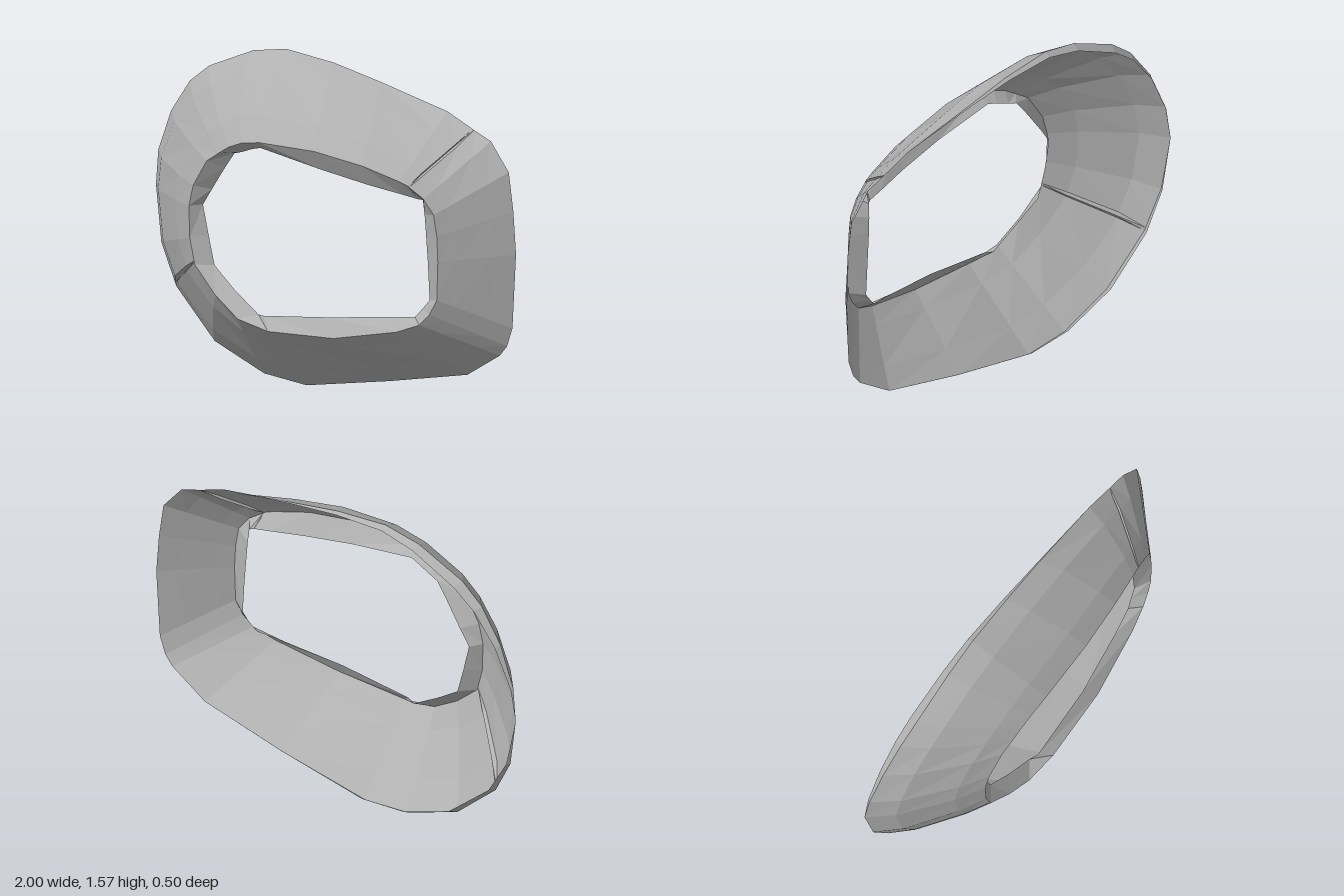
import * as THREE from 'three';

// Stations round the ring: outline x,y | front opening x,y | lip x,y
const stations = [
  [-1, .8, -.605, .85, -.56, .85],
  [-.98, .97, -.58, .95, -.51, .93],
  [-.9, 1.17, -.5, 1.08, -.43, 1.05],
  [-.79, 1.33, -.43, 1.13, -.375, 1.125],
  [-.68, 1.42, -.37, 1.17, -.33, 1.14],
  [-.44, 1.53, -.3, 1.2, -.27, 1.165],
  [-.26, 1.565, -.2, 1.22, -.22, 1.18],
  [0, 1.54, .1, 1.225, .1, 1.13],
  [.25, 1.49, .35, 1.19, .35, 1.09],
  [.62, 1.41, .53, 1.14, .52, 1.065],
  [.76, 1.35, .57, 1.125, .6, 1.053],
  [.86, 1.31, .65, 1.07, .62, 1.05],
  [.96, 1.18, .7, 1, .625, .98],
  [.985, 1, .715, .9, .63, .9],
  [1, .8, .72, .78, .64, .76],
  [.98, .45, .715, .6, .65, .58],
  [.95, .36, .68, .53, .615, .535],
  [.91, .31, .63, .475, .58, .495],
  [.73, .19, .52, .43, .45, .48],
  [.3, .09, .2, .36, .15, .44],
  [-.15, 0, -.15, .34, -.2, .395],
  [-.38, .02, -.32, .37, -.24, .39],
  [-.65, .13, -.45, .46, -.38, .485],
  [-.87, .35, -.57, .58, -.495, .575],
  [-.96, .54, -.6, .7, -.53, .71],
];
const seams = [10, 23];
const clamp = THREE.MathUtils.clamp;
const rimZ = (x) => -.135 + .115 * x;
const frontZ = (x) => .245 - .15 * (x - .2) ** 2;

// Cross-section from back rim to lip; groove sinks the wall along a seam
function section([ox, oy, fx, fy, lx, ly], groove = 0) {
  const dir = new THREE.Vector2(ox, oy - .79).normalize();
  const w = clamp(.4 - ox, 0, 1) * Math.min(1, Math.abs(oy - .8) / .6);
  const bulge = .04 * clamp(.4 + .7 * (dir.y - dir.x), 0, 1) - groove;
  const oz = rimZ(ox) + .04 * w, fz = frontZ(fx);
  const wall = (t) => {
    const b = bulge * (t < .5 ? 1 : .8);
    return [ox + (fx - ox) * t + dir.x * b, oy + (fy - oy) * t + dir.y * b, oz + (fz - oz) * t];
  };
  return [
    [ox - dir.x * .03 * w, oy - dir.y * .03 * w, rimZ(ox)],
    [ox, oy, oz],
    wall(.3),
    wall(.78),
    [fx, fy, fz],
    [lx, ly, fz - .05],
  ];
}

// Joins the sections into a closed band, using rings from..to
function band(sections, from, to) {
  const pos = [];
  sections.forEach((s, i) => {
    const n = sections[(i + 1) % sections.length];
    for (let j = from; j < to; j++) {
      pos.push(...s[j], ...n[j + 1], ...n[j], ...s[j], ...s[j + 1], ...n[j + 1]);
    }
  });
  const geo = new THREE.BufferGeometry();
  geo.setAttribute('position', new THREE.Float32BufferAttribute(pos, 3));
  geo.computeVertexNormals();
  return geo;
}

export function createModel() {
  const group = new THREE.Group();
  group.name = 'openFrame';
  const grey = new THREE.MeshStandardMaterial({ color: 0xb0b0b0, flatShading: true, side: THREE.DoubleSide });
  grey.name = 'grey';

  // Sections, with a narrow groove after each seam station
  const sections = [];
  stations.forEach((s, i) => {
    sections.push(section(s));
    if (!seams.includes(i)) return;
    const n = stations[(i + 1) % stations.length];
    const mix = (t) => s.map((v, k) => v + (n[k] - v) * t);
    sections.push(section(mix(.07), .025), section(mix(.14)));
  });

  const parts = { backRim: [0, 1], flaredWall: [1, 4], innerLip: [4, 5] };
  for (const [name, [from, to]] of Object.entries(parts)) {
    const mesh = new THREE.Mesh(band(sections, from, to), grey);
    mesh.name = name;
    group.add(mesh);
  }
  return group;
}
